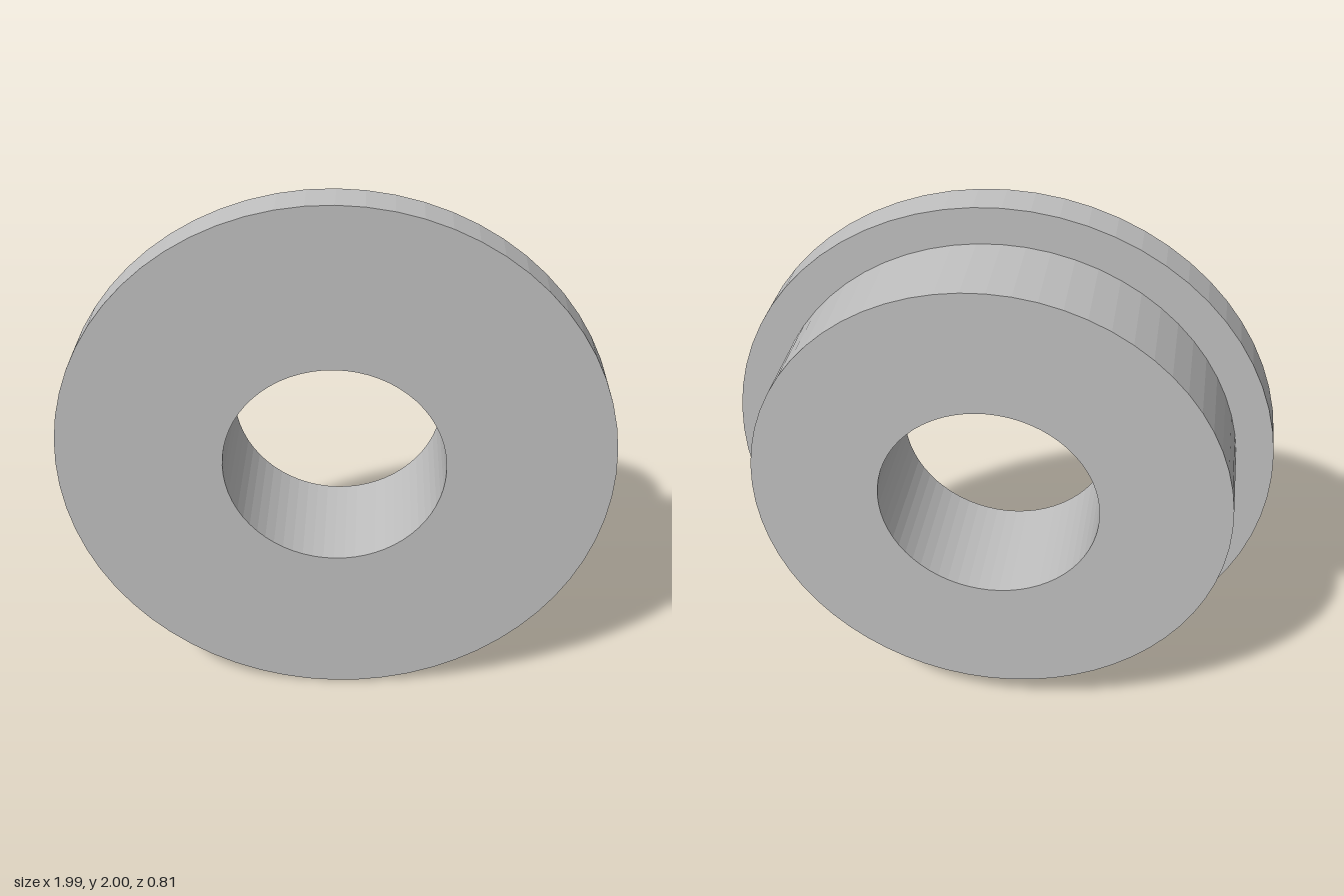
import * as THREE from 'three';

const SEGMENTS = 64;
const BORE = 0.4, HUB = 0.866, FLANGE = 1.0;
const FLANGE_DEPTH = 0.142, TOTAL_DEPTH = 0.475;

export function createModel() {
  const model = new THREE.Group();
  model.name = 'flangedBushing';

  const grey = new THREE.MeshStandardMaterial({ color: 0xc0c0c0, flatShading: true });
  grey.name = 'light grey';

  // Closed ring profile (radius, depth), from the back face to the front face
  const step = TOTAL_DEPTH - FLANGE_DEPTH;
  const profile = [
    [BORE, 0], [HUB, 0], [HUB, step], [FLANGE, step],
    [FLANGE, TOTAL_DEPTH], [BORE, TOTAL_DEPTH], [BORE, 0],
  ].map(([r, d]) => new THREE.Vector2(r, d - TOTAL_DEPTH / 2));

  // Turn the ring so its axis runs front to back
  const geometry = new THREE.LatheGeometry(profile, SEGMENTS);
  geometry.rotateX(Math.PI / 2);

  // Hub, flange and bore are one turned piece, swivelled slightly about the vertical
  const bushing = new THREE.Mesh(geometry, grey);
  bushing.name = 'hubAndFlange';
  bushing.rotation.y = THREE.MathUtils.degToRad(-10.55);
  bushing.position.set(0.029, 1, -0.016);
  model.add(bushing);

  return model;
}
